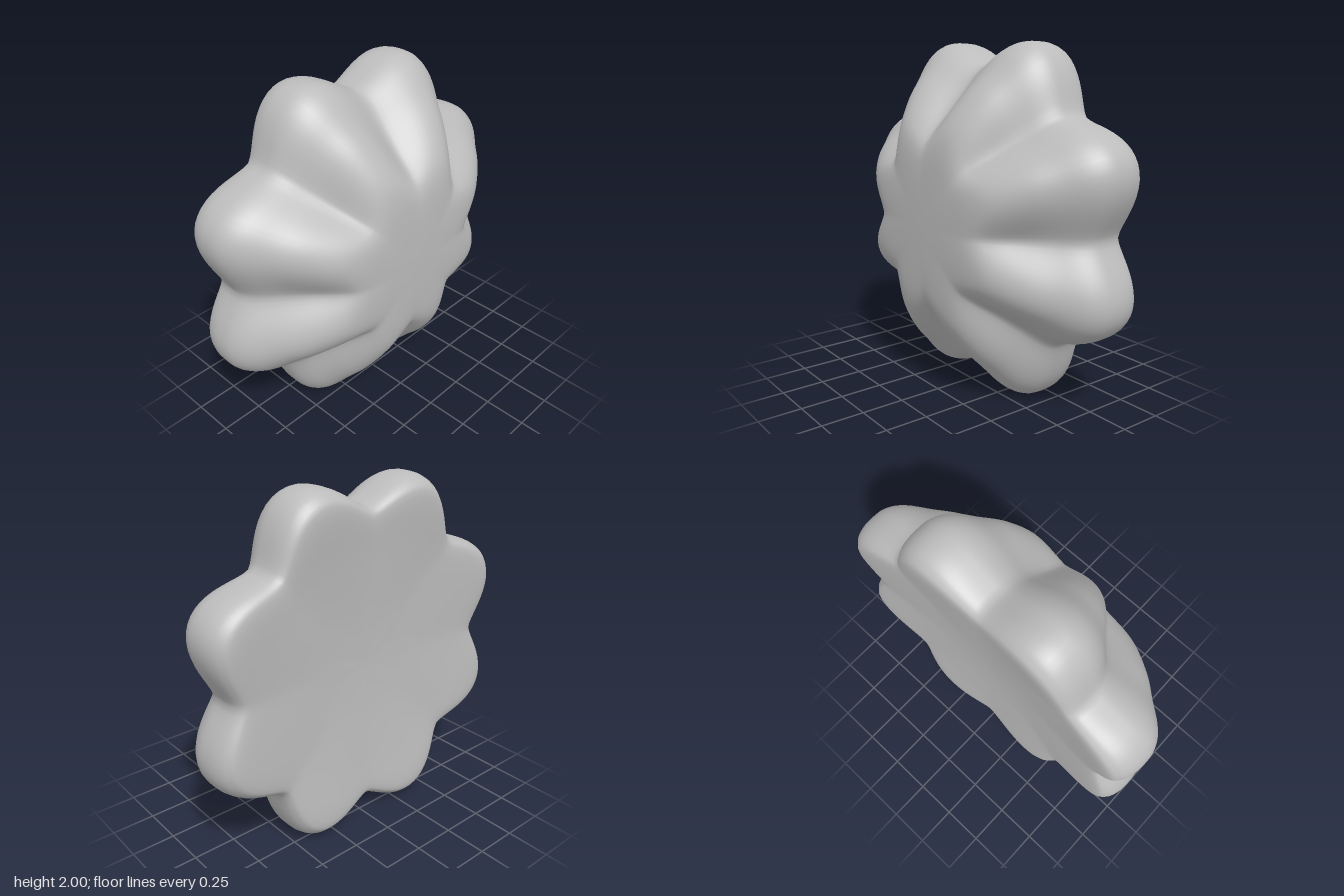
import * as THREE from 'three';

const LOBES = 8, SEGMENTS = 160, ROWS = 56;

// Cross-sections as [radius, z], from the front centre over the rim to the back centre
const lobeProfile = [
  [0, 0.36], [0.3, 0.355], [0.48, 0.34], [0.61, 0.3], [0.77, 0.2], [0.885, 0.1], [1.0, 0],
  [1.055, -0.09], [1.065, -0.18], [1.055, -0.26], [1.02, -0.325], [0.94, -0.356],
  [0.65, -0.325], [0.3, -0.295], [0, -0.285],
];
const valleyProfile = [
  [0, 0.36], [0.26, 0.355], [0.42, 0.335], [0.51, 0.27], [0.61, 0.17], [0.72, 0.07], [0.82, -0.02],
  [0.87, -0.1], [0.877, -0.18], [0.87, -0.26], [0.845, -0.31], [0.79, -0.328],
  [0.6, -0.315], [0.3, -0.295], [0, -0.285],
];

const toCurve = (points) => new THREE.SplineCurve(points.map(([r, z]) => new THREE.Vector2(r, z)));

// Closed body whose section swings between the lobe and the valley profile
function scallopedGeometry() {
  const lobe = toCurve(lobeProfile), valley = toCurve(valleyProfile);
  const positions = [0, 0, 0.36], index = [];
  for (let i = 1; i < ROWS; i++) {
    const a = lobe.getPoint(i / ROWS), b = valley.getPoint(i / ROWS);
    for (let j = 0; j < SEGMENTS; j++) {
      const angle = (j / SEGMENTS) * Math.PI * 2;
      const swell = Math.pow((1 - Math.cos(LOBES * angle)) / 2, 0.75);
      const p = b.clone().lerp(a, swell);
      positions.push(p.x * Math.cos(angle), p.x * Math.sin(angle), p.y);
    }
  }
  const last = positions.length / 3;
  positions.push(0, 0, -0.285);

  const at = (i, j) => 1 + (i - 1) * SEGMENTS + (j % SEGMENTS);
  for (let j = 0; j < SEGMENTS; j++) {
    index.push(0, at(1, j), at(1, j + 1));
    for (let i = 1; i < ROWS - 1; i++) {
      index.push(at(i, j), at(i + 1, j), at(i + 1, j + 1));
      index.push(at(i, j), at(i + 1, j + 1), at(i, j + 1));
    }
    index.push(at(ROWS - 1, j), last, at(ROWS - 1, j + 1));
  }

  const geometry = new THREE.BufferGeometry();
  geometry.setAttribute('position', new THREE.Float32BufferAttribute(positions, 3));
  geometry.setIndex(index);
  geometry.computeVertexNormals();
  return geometry;
}

export function createModel() {
  const group = new THREE.Group();
  group.name = 'scallopedKnob';
  const grey = new THREE.MeshStandardMaterial({ color: 0xbcbcbc });
  grey.name = 'light grey';
  const body = new THREE.Mesh(scallopedGeometry(), grey);
  body.name = 'scallopedBody';
  body.position.y = 1;
  group.add(body);
  return group;
}
